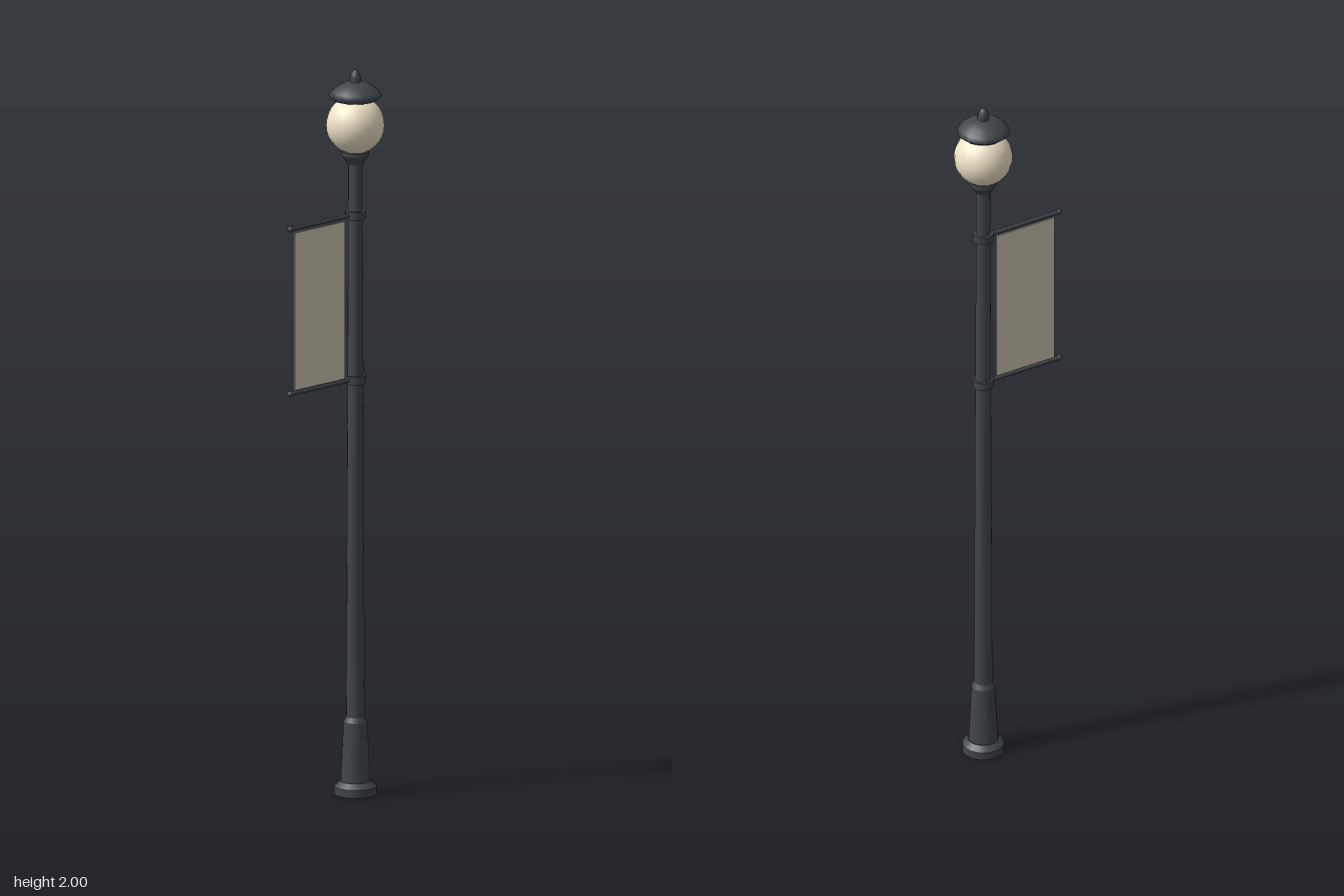
import * as THREE from 'three';

const POLE_Z = -0.085;
const metal = new THREE.MeshStandardMaterial({ color: 0x41464c });
const glass = new THREE.MeshStandardMaterial({ color: 0xf0e4c8 });
const cloth = new THREE.MeshStandardMaterial({ color: 0xcfc8b4 });

export function createModel() {
  const group = new THREE.Group();

  const add = (name, geometry, material, y, z = POLE_Z) => {
    const mesh = new THREE.Mesh(geometry, material);
    mesh.name = name;
    mesh.position.set(0, y, z);
    group.add(mesh);
    return mesh;
  };
  const cylinder = (name, rTop, rBottom, y0, y1, sides = 16) =>
    add(name, new THREE.CylinderGeometry(rTop, rBottom, y1 - y0, sides), metal, (y0 + y1) / 2);
  const lathe = (name, points, sides = 16) =>
    add(name, new THREE.LatheGeometry(points.map(([r, y]) => new THREE.Vector2(r, y)), sides), metal, 0);

  // Stepped foot, flared base and tapered pole
  cylinder('foot', 0.057, 0.057, 0, 0.022);
  cylinder('footBevel', 0.042, 0.057, 0.022, 0.036);
  cylinder('flaredBase', 0.032, 0.04, 0.03, 0.2);
  cylinder('baseShoulder', 0.024, 0.032, 0.2, 0.215);
  cylinder('pole', 0.019, 0.025, 0.2, 1.75);

  // Cup holding the globe
  cylinder('globeCup', 0.037, 0.021, 1.74, 1.765);
  cylinder('globeCupRim', 0.037, 0.037, 1.765, 1.775);

  // Globe
  add('globe', new THREE.SphereGeometry(0.079, 20, 16), glass, 1.848);

  // Domed cap with a closed underside
  lathe('cap', [[0, 1.917], [0.058, 1.917], [0.072, 1.929], [0.064, 1.941],
    [0.048, 1.954], [0.028, 1.964], [0, 1.968]]);

  // Finial
  lathe('finial', [[0.015, 1.96], [0.015, 1.978], [0.012, 1.988], [0.007, 1.996], [0, 2]], 12);

  // Banner arms with collars and ball ends
  for (const [label, y] of [['upper', 1.6], ['lower', 1.145]]) {
    cylinder(label + 'Collar', 0.028, 0.028, y - 0.011, y + 0.011);
    const arm = add(label + 'Arm', new THREE.CylinderGeometry(0.006, 0.006, 0.241, 10), metal, y, 0.0355);
    arm.rotation.x = Math.PI / 2;
    add(label + 'ArmBall', new THREE.SphereGeometry(0.008, 12, 8), metal, y, 0.156);
  }

  // Hanging banner
  add('banner', new THREE.BoxGeometry(0.004, 0.435, 0.184), cloth, 1.37, 0.048);

  return group;
}
